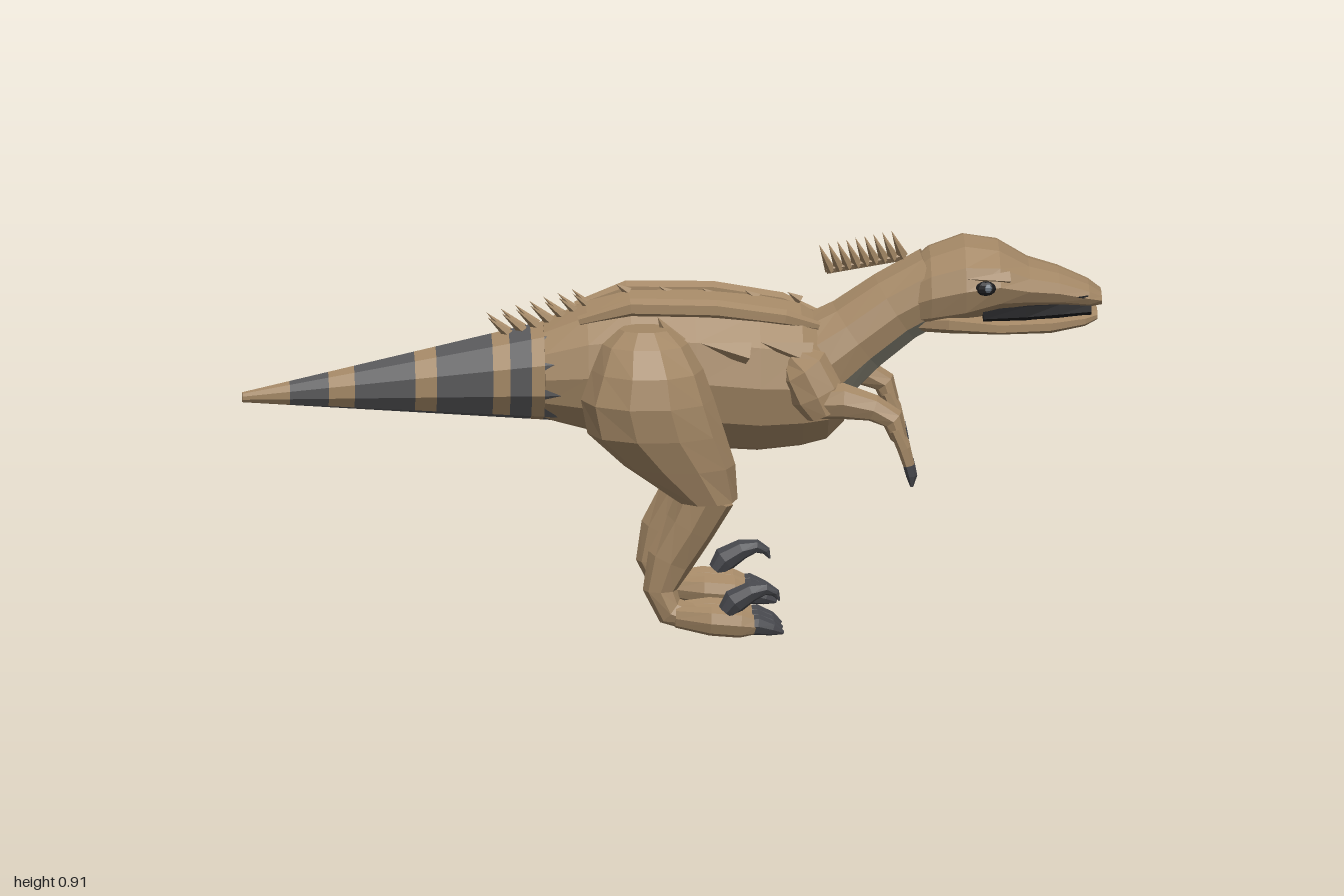
import * as THREE from 'three';

const paint = (name, color) => {
  const m = new THREE.MeshStandardMaterial({ color, flatShading: true });
  m.name = name;
  return m;
};

export function createModel() {
  const model = new THREE.Group();
  model.name = 'dinosaur';
  const hide = paint('brown hide', 0xa38765);
  const band = paint('dark band', 0x58585a);
  const claw = paint('slate claw', 0x46474c);
  const throat = paint('pale throat', 0x918e7e);
  const black = paint('black', 0x1c1c1e);
  const eyeGrey = paint('eye grey', 0x6d7680);

  // Skin over rings [x, y, z, half height, half width]; rings follow the path
  // or share one fixed direction. pick(i, j) chooses a material for each face.
  function loft(parent, name, rings, mats, { sides = 8, up = null, pick = () => 0 } = {}) {
    const list = [].concat(mats);
    const buckets = list.map(() => []);
    const pts = rings.map(([x, y, z, a, b], i) => {
      const p = rings[Math.max(i - 1, 0)], q = rings[Math.min(i + 1, rings.length - 1)];
      const len = Math.hypot(q[0] - p[0], q[1] - p[1]) || 1;
      const n = up || [-(q[1] - p[1]) / len, (q[0] - p[0]) / len];
      return Array.from({ length: sides }, (_, j) => {
        const t = (j / sides) * Math.PI * 2, c = Math.cos(t) * a;
        return [x + n[0] * c, y + n[1] * c, z + Math.sin(t) * b];
      });
    });
    const last = rings.length - 1;
    for (let j = 0; j < sides; j++) {
      const k = (j + 1) % sides;
      for (let i = 0; i < last; i++) {
        const A = pts[i][j], B = pts[i][k], C = pts[i + 1][j], D = pts[i + 1][k];
        buckets[pick(i, j)].push(...A, ...B, ...C, ...B, ...D, ...C);
      }
      buckets[pick(0, j)].push(...rings[0].slice(0, 3), ...pts[0][k], ...pts[0][j]);
      buckets[pick(last - 1, j)].push(...rings[last].slice(0, 3), ...pts[last][j], ...pts[last][k]);
    }
    const g = new THREE.BufferGeometry();
    g.setAttribute('position', new THREE.Float32BufferAttribute(buckets.flat(), 3));
    let start = 0;
    buckets.forEach((b, i) => { g.addGroup(start, b.length / 3, i); start += b.length / 3; });
    g.computeVertexNormals();
    const mesh = new THREE.Mesh(g, list.length > 1 ? list : list[0]);
    mesh.name = name;
    parent.add(mesh);
    return mesh;
  }

  // Four-sided spike from base to tip
  function spike(parent, name, base, tip, r, mat = hide) {
    const a = new THREE.Vector3(...base), b = new THREE.Vector3(...tip);
    const d = b.clone().sub(a);
    const mesh = new THREE.Mesh(new THREE.ConeGeometry(r, d.length(), 4), mat);
    mesh.name = name;
    mesh.quaternion.setFromUnitVectors(new THREE.Vector3(0, 1, 0), d.normalize());
    mesh.position.copy(a.add(b).multiplyScalar(0.5));
    parent.add(mesh);
  }

  // Horizontal parts given as [x, top, bottom, half width]
  const level = rows => rows.map(([x, t, b, w]) => [x, (t + b) / 2, 0, (t - b) / 2, w]);
  const UP = [0, 1];

  // Torso
  loft(model, 'torso', level([
    [-0.3, 0.72, 0.487, 0.118], [-0.2, 0.765, 0.46, 0.145], [-0.1, 0.79, 0.43, 0.16],
    [0.05, 0.79, 0.415, 0.17], [0.2, 0.775, 0.405, 0.175], [0.3, 0.755, 0.415, 0.165],
    [0.36, 0.715, 0.43, 0.13], [0.4, 0.64, 0.47, 0.08]]), hide, { sides: 12, up: UP });

  // Tail, banded, with a dark underside
  const cuts = [-1, -0.89, -0.8, -0.74, -0.6, -0.55, -0.42, -0.38, -0.33, -0.3, -0.23];
  loft(model, 'tail', cuts.map(x => {
    const t = (x + 1) / 0.75, r = 0.012 + 0.113 * t;
    return [x, 0.545 + 0.06 * t, 0, r, r];
  }), [hide, band], {
    sides: 10, up: UP,
    pick: (i, j) => (i % 2 || (i > 0 && i < 7 && (j === 4 || j === 5)) ? 1 : 0),
  });

  // Neck with pale throat
  loft(model, 'neck', [
    [0.24, 0.57, 0, 0.14, 0.14], [0.34, 0.615, 0, 0.115, 0.125], [0.43, 0.68, 0, 0.095, 0.112],
    [0.52, 0.745, 0, 0.09, 0.105], [0.62, 0.8, 0, 0.09, 0.11]], [hide, throat],
    { sides: 12, pick: (i, j) => (j >= 4 && j <= 7 ? 1 : 0) });

  // Head, mouth lining and lower jaw
  loft(model, 'head', level([
    [0.54, 0.835, 0.69, 0.09], [0.6, 0.887, 0.69, 0.125], [0.68, 0.915, 0.7, 0.14],
    [0.76, 0.9, 0.732, 0.135], [0.83, 0.856, 0.745, 0.115], [0.9, 0.835, 0.745, 0.092],
    [0.97, 0.803, 0.742, 0.072], [1, 0.78, 0.747, 0.052]]), hide, { sides: 12, up: UP });
  loft(model, 'mouth', level([
    [0.72, 0.765, 0.715, 0.128], [0.82, 0.765, 0.715, 0.113], [0.9, 0.765, 0.715, 0.088],
    [0.975, 0.76, 0.72, 0.064]]), black, { sides: 8, up: UP });
  loft(model, 'lowerJaw', level([
    [0.56, 0.75, 0.69, 0.08], [0.64, 0.76, 0.688, 0.122], [0.76, 0.742, 0.685, 0.124],
    [0.88, 0.74, 0.684, 0.1], [0.96, 0.74, 0.698, 0.075], [0.99, 0.738, 0.712, 0.05]]),
    hide, { sides: 10, up: UP });

  // Neck crest: paired quills on a thin strip
  const crest = new THREE.Group();
  crest.name = 'neckCrest';
  model.add(crest);
  loft(crest, 'crestStrip', [[0.36, 0.835, 0, 0.012, 0.008], [0.54, 0.865, 0, 0.012, 0.008]], hide, { sides: 4 });
  for (let i = 0; i < 9; i++) {
    const x = 0.37 + i * 0.021, y = 0.832 + i * 0.004;
    for (const s of [-1, 1]) spike(crest, 'crestQuill', [x, y, 0], [x - 0.025, y + 0.055, s * 0.028], 0.013);
  }

  // Spines at the tail root and small bumps along the back
  for (let i = 0; i < 7; i++) {
    const x = -0.38 + i * 0.033, y = 0.69 + i * 0.009;
    for (const s of [-1, 1]) spike(model, 'tailSpine', [x, y, s * 0.01], [x - 0.05, y + 0.045, s * 0.025], 0.013);
  }
  for (let i = 0; i < 5; i++) {
    const x = -0.1 + i * 0.1, y = 0.785 - i * 0.006;
    spike(model, 'backBump', [x, y, 0], [x - 0.03, y + 0.02, 0], 0.012);
  }

  for (const s of [1, -1]) {
    const side = s > 0 ? 'right' : 'left';
    const half = new THREE.Group();
    half.name = side + 'Limbs';
    model.add(half);

    // Ridge along the back
    loft(half, 'backRidge', [
      [-0.22, 0.735, s * 0.075, 0.012, 0.014], [-0.1, 0.77, s * 0.092, 0.022, 0.02],
      [0.1, 0.765, s * 0.098, 0.022, 0.02], [0.26, 0.74, s * 0.09, 0.02, 0.018],
      [0.34, 0.715, s * 0.07, 0.01, 0.01]], hide, { sides: 6 });

    // Loose hide flaps over hip and shoulder
    spike(half, 'hipFlap', [0, 0.69, s * 0.14], [-0.04, 0.76, s * 0.152], 0.03);
    spike(half, 'flankFlap', [0.17, 0.67, s * 0.155], [0.06, 0.7, s * 0.17], 0.03);
    spike(half, 'shoulderFlap', [0.31, 0.66, s * 0.13], [0.2, 0.7, s * 0.165], 0.035);

    // Eye and nostril
    const eye = new THREE.Mesh(new THREE.SphereGeometry(0.022, 8, 6), black);
    eye.name = 'eye';
    eye.scale.set(1.1, 0.8, 0.5);
    eye.position.set(0.725, 0.815, s * 0.135);
    const pupil = new THREE.Mesh(new THREE.SphereGeometry(0.012, 6, 5), eyeGrey);
    pupil.name = 'iris';
    pupil.position.set(0.73, 0.816, s * 0.138);
    half.add(eye, pupil);
    spike(half, 'brow', [0.78, 0.835, s * 0.115], [0.68, 0.84, s * 0.142], 0.018);
    spike(half, 'nostril', [0.965, 0.775, s * 0.066], [0.94, 0.78, s * 0.083], 0.007, black);

    // Thigh
    loft(half, 'thigh', [
      [-0.07, 0.735, s * 0.16, 0.06, 0.05], [-0.07, 0.7, s * 0.165, 0.1, 0.08],
      [-0.065, 0.64, s * 0.17, 0.13, 0.12], [-0.065, 0.57, s * 0.175, 0.155, 0.13],
      [-0.045, 0.49, s * 0.175, 0.16, 0.118], [0.01, 0.41, s * 0.165, 0.13, 0.1],
      [0.072, 0.325, s * 0.153, 0.074, 0.082]], hide, { sides: 10, up: [1, 0] });

    // Shank, heel and sole
    loft(half, 'shank', [
      [0.075, 0.34, s * 0.153, 0.068, 0.08], [0.035, 0.26, s * 0.153, 0.06, 0.065],
      [-0.012, 0.18, s * 0.155, 0.055, 0.045], [-0.035, 0.11, s * 0.155, 0.04, 0.036],
      [-0.012, 0.06, s * 0.155, 0.036, 0.04], [0.05, 0.04, s * 0.157, 0.032, 0.055],
      [0.1, 0.036, s * 0.158, 0.028, 0.06]], hide);

    // Three toes with claws
    [0.108, 0.16, 0.212].forEach((z, i) => {
      const r = i === 1 ? 0.03 : 0.034, zz = s * z;
      loft(half, 'toe', [
        [0, 0.05, s * (0.155 + (z - 0.16) * 0.5), 0.025, 0.02], [0.08, 0.046, zz, r, r * 0.9],
        [0.15, 0.04, zz, r, r * 0.9], [0.185, 0.035, zz, 0.022, 0.022]], hide);
      loft(half, 'toeClaw', [
        [0.165, 0.036, zz, 0.022, 0.022], [0.19, 0.037, zz, 0.025, 0.023],
        [0.225, 0.027, zz, 0.017, 0.016], [0.25, 0.017, zz, 0.004, 0.004]], claw);
    });

    // Raised sickle claw
    loft(half, 'sickleClaw', [
      [0.115, 0.07, s * 0.215, 0.02, 0.025], [0.135, 0.095, s * 0.217, 0.03, 0.03],
      [0.175, 0.118, s * 0.217, 0.024, 0.026], [0.21, 0.125, s * 0.217, 0.016, 0.018],
      [0.232, 0.113, s * 0.217, 0.01, 0.011], [0.24, 0.095, s * 0.217, 0.002, 0.002]], claw);

    // Arm
    loft(half, 'upperArm', [
      [0.27, 0.66, s * 0.125, 0.03, 0.03], [0.3, 0.635, s * 0.145, 0.06, 0.055],
      [0.33, 0.575, s * 0.16, 0.062, 0.05], [0.35, 0.53, s * 0.165, 0.045, 0.04]], hide);
    loft(half, 'forearm', [
      [0.32, 0.555, s * 0.165, 0.04, 0.035], [0.39, 0.56, s * 0.175, 0.043, 0.042],
      [0.46, 0.545, s * 0.185, 0.032, 0.035], [0.505, 0.52, s * 0.19, 0.027, 0.038],
      [0.52, 0.475, s * 0.19, 0.02, 0.042]], hide);

    // Fingers and claws
    for (const z of [0.158, 0.19, 0.222]) {
      loft(half, 'finger', [
        [0.51, 0.5, s * z, 0.014, 0.013], [0.53, 0.455, s * z, 0.016, 0.014],
        [0.543, 0.41, s * z, 0.013, 0.012]], hide, { sides: 6 });
      loft(half, 'fingerClaw', [
        [0.542, 0.415, s * z, 0.014, 0.014], [0.548, 0.39, s * z, 0.013, 0.013],
        [0.548, 0.365, s * z, 0.004, 0.005]], claw, { sides: 6 });
    }
  }
  return model;
}
